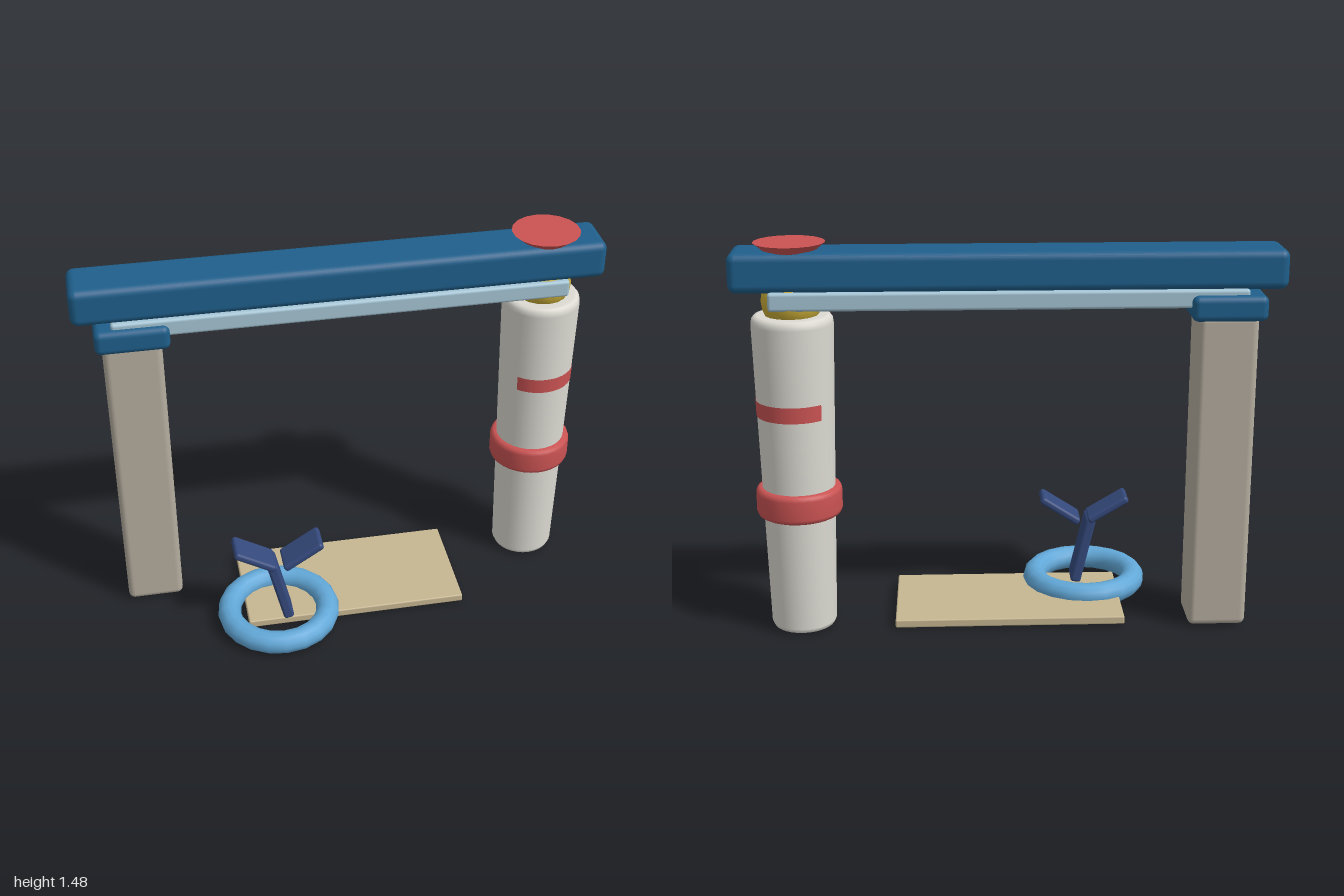
import * as THREE from 'three';
import { RoundedBoxGeometry } from 'three/addons/geometries/RoundedBoxGeometry.js';

const mat = (color) => new THREE.MeshStandardMaterial({ color });
const blue = mat(0x1f5f8b), stone = mat(0xb5ad9f), white = mat(0xdcdad2), red = mat(0xcb5353);
const sky = mat(0x62a8d8), pale = mat(0xa5c5d5), gold = mat(0xc9ac38), sand = mat(0xc6b691), navy = mat(0x34497c);

export function createModel() {
  const group = new THREE.Group();

  const add = (name, geometry, material, x, y, z) => {
    const mesh = new THREE.Mesh(geometry, material);
    mesh.name = name;
    mesh.position.set(x, y, z);
    group.add(mesh);
    return mesh;
  };
  // Rounded box given by its lower and upper corners
  const block = (name, material, [x0, y0, z0], [x1, y1, z1], r) =>
    add(name, new RoundedBoxGeometry(x1 - x0, y1 - y0, z1 - z0, 3, r), material,
      (x0 + x1) / 2, (y0 + y1) / 2, (z0 + z1) / 2);
  // Flat bar running between two points in the xy plane
  const bar = (name, [x0, y0], [x1, y1], thick, depth, z) => {
    const length = Math.hypot(x1 - x0, y1 - y0);
    const mesh = add(name, new RoundedBoxGeometry(length, thick, depth, 3, 0.012), navy,
      (x0 + x1) / 2, (y0 + y1) / 2, z);
    mesh.rotation.z = Math.atan2(y1 - y0, x1 - x0);
  };
  const lathe = (points) =>
    new THREE.LatheGeometry(points.map(([r, y]) => new THREE.Vector2(r, y)), 32);

  // Overhead beam, rail beneath it and the square pillar
  block('beam', blue, [-1, 1.315, -0.305], [1, 1.46, -0.097], 0.03);
  block('rail', pale, [-0.86, 1.252, -0.31], [0.86, 1.32, -0.09], 0.012);
  block('pillarCap', blue, [-0.925, 1.205, -0.336], [-0.65, 1.3, -0.066], 0.025);
  block('pillar', stone, [-0.9, 0.008, -0.302], [-0.68, 1.22, -0.1], 0.025);

  // Tapered round tower with rounded rims
  const tx = 0.785, tz = -0.2;
  add('tower', lathe([
    [0, 0.008], [0.1, 0.008], [0.115, 0.013], [0.123, 0.03], [0.15, 1.19],
    [0.147, 1.208], [0.138, 1.219], [0.125, 1.222], [0, 1.222],
  ]), white, tx, 0, tz);
  add('towerCollar', lathe([
    [0.125, 0.46], [0.145, 0.46], [0.155, 0.466], [0.16, 0.48], [0.16, 0.55],
    [0.155, 0.563], [0.145, 0.57], [0.125, 0.57],
  ]), red, tx, 0, tz);
  // Thin painted band that leaves the inner side of the tower bare
  const bandMesh = add('towerBand', new THREE.CylinderGeometry(0.1455, 0.144, 0.06, 32, 1, true,
    Math.PI / 2 - 2.35, 4.7), red, tx, 0.878, tz);
  bandMesh.material = red.clone();
  bandMesh.material.side = THREE.DoubleSide;

  // Ball joint and inverted cone above it
  add('ballJoint', new THREE.SphereGeometry(0.11, 16, 12), gold, tx, 1.27, tz);
  add('topCone', new THREE.CylinderGeometry(0.13, 0, 0.11, 18), red, tx, 1.43, tz);

  // Ground plate and ring
  block('groundPlate', sand, [-0.44, 0.01, -0.28], [0.435, 0.042, 0.16], 0.006);
  const ring = add('groundRing', new THREE.TorusGeometry(0.198, 0.046, 12, 20), sky, -0.315, 0.05, 0.11);
  ring.rotation.x = Math.PI / 2;

  // Forked stand: leaning stem with two raised paddles
  bar('stem', [-0.278, 0.04], [-0.34, 0.312], 0.042, 0.11, 0.112);
  bar('rightPaddle', [-0.483, 0.395], [-0.328, 0.302], 0.03, 0.122, 0.112);
  bar('leftPaddle', [-0.292, 0.297], [-0.14, 0.396], 0.03, 0.122, 0.112);

  return group;
}
